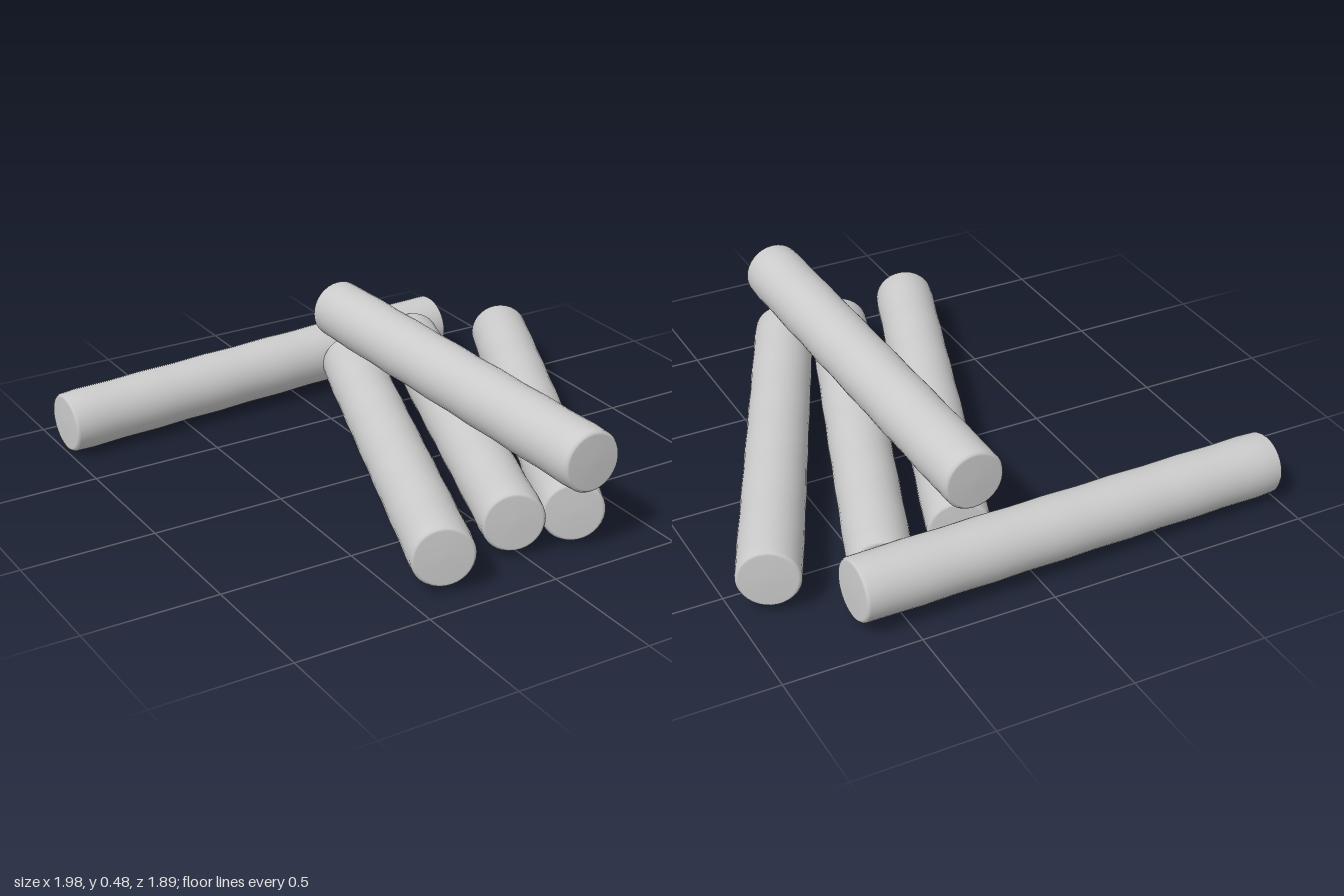
import * as THREE from 'three';

const RADIUS = 0.115;
const material = new THREE.MeshStandardMaterial({ color: 0xcccccc });

// A round log running from one end centre to the other, with softly worn rims
function makeLog(name, from, to) {
  const a = new THREE.Vector3(...from);
  const b = new THREE.Vector3(...to);
  const axis = b.clone().sub(a);
  const half = axis.length() / 2;

  const profile = [[0, -half], [RADIUS - 0.016, -half + 0.002], [RADIUS - 0.008, -half + 0.005], [RADIUS - 0.002, -half + 0.014]];
  // Slight swelling along the length
  const steps = 24;
  for (let i = 1; i < steps; i++) {
    const t = i / steps;
    profile.push([RADIUS + 0.0012 * Math.sin(t * 38), THREE.MathUtils.lerp(-half + 0.014, half - 0.014, t)]);
  }
  profile.push([RADIUS - 0.002, half - 0.014], [RADIUS - 0.008, half - 0.005], [RADIUS - 0.016, half - 0.002], [0, half]);

  const geometry = new THREE.LatheGeometry(profile.map(([r, y]) => new THREE.Vector2(r, y)), 32);
  const log = new THREE.Mesh(geometry, material);
  log.name = name;
  log.position.copy(a).add(b).multiplyScalar(0.5);
  log.quaternion.setFromUnitVectors(new THREE.Vector3(0, 1, 0), axis.normalize());
  return log;
}

export function createModel() {
  const group = new THREE.Group();
  group.name = 'logPile';

  // Three logs lying on the ground, fanned out towards the back
  group.add(makeLog('groundLogRight', [-0.375, 0.14, 0.89], [0.195, 0.14, -0.68]));
  group.add(makeLog('groundLogMiddle', [-0.04, 0.14, 0.81], [0.53, 0.14, -0.76]));
  group.add(makeLog('groundLogLeft', [0.175, 0.14, 0.855], [0.89, 0.14, -0.645]));

  // Log lying across the back, one end slightly raised
  group.add(makeLog('crossLog', [-0.997, 0.118, -0.778], [0.677, 0.153, -0.837]));

  // Log resting on top
  group.add(makeLog('topLog', [0.18, 0.367, 0.945], [0.165, 0.36, -0.73]));

  return group;
}
